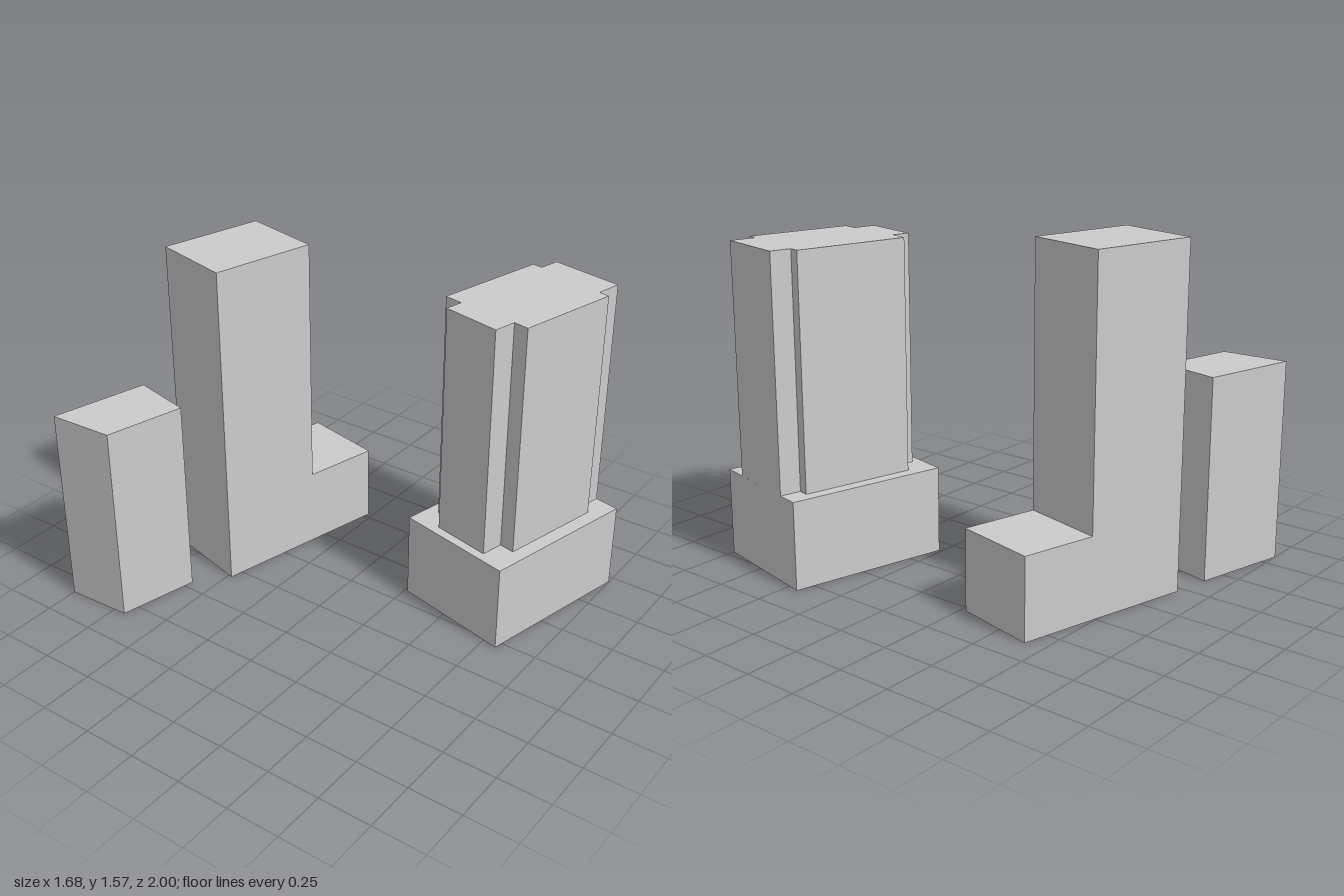
import * as THREE from 'three';

const material = new THREE.MeshStandardMaterial({ color: 0xcccccc, flatShading: true });

// Upright block: footprint of [x, z] corners, from base height to top height
function block(name, footprint, base, top) {
  const shape = new THREE.Shape(footprint.map(([x, z]) => new THREE.Vector2(x, -z)));
  const geometry = new THREE.ExtrudeGeometry(shape, { depth: top - base, bevelEnabled: false });
  geometry.rotateX(-Math.PI / 2);
  geometry.translate(0, base, 0);
  const mesh = new THREE.Mesh(geometry, material);
  mesh.name = name;
  return mesh;
}

function building(name, ...parts) {
  const group = new THREE.Group();
  group.name = name;
  group.add(...parts);
  return group;
}

export function createModel() {
  const model = new THREE.Group();
  model.name = 'cityBlock';

  // Small tower with a slightly skewed plan
  const small = building('smallBuilding',
    block('smallTower', [[-0.84, -1], [-0.387, -0.892], [-0.455, -0.602], [-0.826, -0.69]], 0, 0.94));

  // Tall slab with a low wing on its +x end
  const slab = building('slabBuilding',
    block('slabTower', [[-0.215, -0.86], [0.27, -0.741], [0.178, -0.36], [-0.312, -0.48]], 0, 1.565),
    block('lowWing', [[0.27, -0.741], [0.614, -0.658], [0.528, -0.274], [0.178, -0.36]], 0, 0.375));

  // Notched tower on a podium, flush with the podium's +x side
  const podium = building('podiumBuilding',
    block('podium', [[0.087, 0.265], [0.836, 0.438], [0.713, 0.998], [-0.04, 0.82]], 0, 0.41),
    block('notchedTower', [
      [0.2, 0.35], [0.727, 0.472], [0.716, 0.52], [0.813, 0.543],
      [0.738, 0.882], [0.617, 0.855], [0.606, 0.905], [0.122, 0.79],
      [0.138, 0.718], [0.033, 0.693], [0.098, 0.418], [0.18, 0.437],
    ], 0.41, 1.49));

  model.add(small, slab, podium);
  return model;
}
